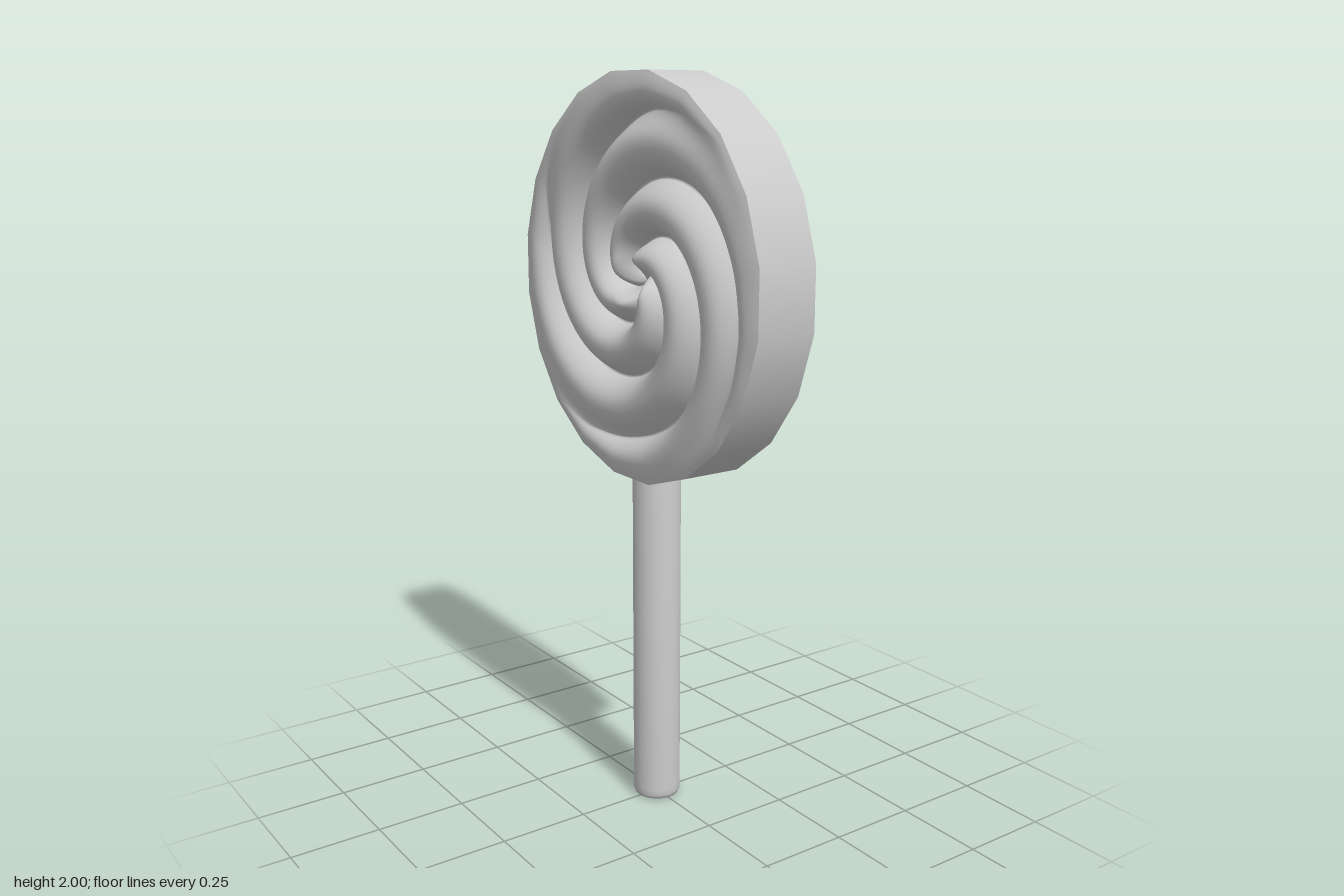
import * as THREE from 'three';

const { smoothstep, degToRad } = THREE.MathUtils;
const SIDES = 20, APOTHEM = 0.527, CENTRE_Y = 1.473;
const RIM_Z = 0.085, TOP_Z = 0.1, GROOVE = 0.07, ARMS = 4;
const RINGS = 64, SEGS = 160;

// Radius of the many-sided rim outline at angle a (flat sides face the axes)
function rimRadius(a) {
  const step = (2 * Math.PI) / SIDES;
  return APOTHEM / Math.cos(a - Math.round(a / step) * step);
}

// Spiral angle: none at the rim (t = 1), most at the centre (t = 0)
const twist = (t) => degToRad(270 * (1 - t) + 20 * (1 - t) ** 4);

// Height of the candy face: rounded arms with creases between, fading at the rim
function faceHeight(t, a) {
  const s = (a - degToRad(33.75)) / (2 * Math.PI / ARMS);
  const u = Math.abs(2 * (s - Math.floor(s + 1e-6)) - 1);
  const arm = (1 - u ** 2.3) * smoothstep(t, 0, 0.14);
  const depth = GROOVE * (1 - smoothstep(t, 0.72, 0.98));
  const edge = (TOP_Z - RIM_Z) * Math.max(0, (t - 0.8) / 0.2) ** 3;
  return TOP_Z - edge - depth * (1 - arm);
}

// One swirled face; side is +1 for the front and -1 for the back
function swirlFace(side) {
  const pos = [], index = [];
  for (let i = 0; i <= RINGS; i++) {
    const t = i / RINGS;
    for (let j = 0; j < SEGS; j++) {
      const a = (j / SEGS) * 2 * Math.PI;
      const angle = a + twist(t);
      const r = t * THREE.MathUtils.lerp(0.53, rimRadius(angle), smoothstep(t, 0.75, 1));
      pos.push(r * Math.cos(angle), r * Math.sin(angle), side * faceHeight(t, a));
      if (i === RINGS) continue;
      const k = (j + 1) % SEGS;
      const p = i * SEGS + j, q = p + SEGS, n = i * SEGS + k, m = n + SEGS;
      if (side > 0) index.push(p, q, m, p, m, n);
      else index.push(p, m, q, p, n, m);
    }
  }
  const g = new THREE.BufferGeometry();
  g.setAttribute('position', new THREE.Float32BufferAttribute(pos, 3));
  g.setIndex(index);
  g.computeVertexNormals();
  return g;
}

export function createModel() {
  const model = new THREE.Group();
  model.name = 'lollipop';
  const material = new THREE.MeshStandardMaterial({ color: 0xcccccc });
  const add = (parent, name, geometry) => {
    const mesh = new THREE.Mesh(geometry, material);
    mesh.name = name;
    parent.add(mesh);
  };

  // Candy disc: swirled faces joined by a plain rim
  const candy = new THREE.Group();
  candy.name = 'candy';
  candy.position.y = CENTRE_Y;
  add(candy, 'frontSwirl', swirlFace(1));
  add(candy, 'backSwirl', swirlFace(-1));
  const rimR = APOTHEM / Math.cos(Math.PI / SIDES);
  const rim = new THREE.CylinderGeometry(rimR, rimR, 2 * RIM_Z, SIDES, 1, true);
  rim.rotateX(Math.PI / 2).rotateZ(Math.PI / SIDES);
  add(candy, 'rim', rim);
  model.add(candy);

  // Stick with a softened lower end
  const profile = [[0, 0], [0.053, 0], [0.062, 0.004], [0.066, 0.015], [0.066, 0.03], [0.066, 1.0], [0, 1.0]];
  add(model, 'stick', new THREE.LatheGeometry(profile.map(([x, y]) => new THREE.Vector2(x, y)), 24));
  return model;
}
